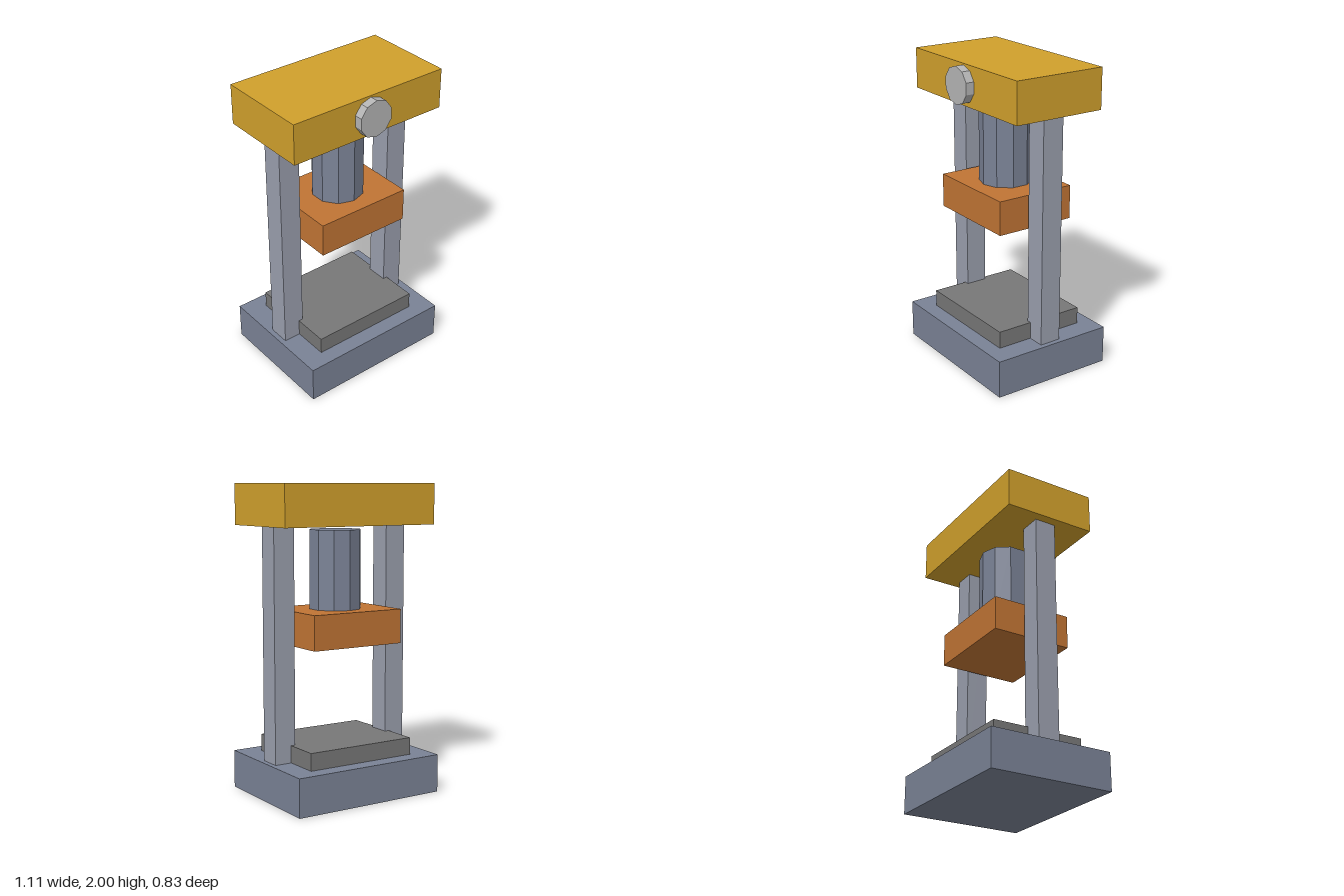
import * as THREE from 'three';

export function createModel() {
  const group = new THREE.Group();
  group.name = 'hydraulicPress';

  const mat = (color) => new THREE.MeshStandardMaterial({ color, flatShading: true });
  const steel = mat(0x7a8295);
  const column = mat(0x9a9fad);
  const yellow = mat(0xd0a02c);
  const orange = mat(0xc07434);
  const darkGrey = mat(0x777777);
  const lightGrey = mat(0xb4b4b4);

  const add = (name, geometry, material, x, y, z) => {
    const mesh = new THREE.Mesh(geometry, material);
    mesh.name = name;
    mesh.position.set(x, y, z);
    group.add(mesh);
    return mesh;
  };
  // Box centred on x, z = 0 unless x is given, spanning y0 to y1
  const box = (name, material, w, d, y0, y1, x = 0) =>
    add(name, new THREE.BoxGeometry(w, y1 - y0, d), material, x, (y0 + y1) / 2, 0);

  // Base and work table
  box('base', steel, 1.056, 0.83, 0, 0.248);
  box('workTable', darkGrey, 0.76, 0.62, 0.248, 0.36);

  // Side columns
  for (const [name, side] of [['leftColumn', 1], ['rightColumn', -1]]) {
    box(name, column, 0.144, 0.144, 0.248, 1.74, side * 0.422);
  }

  // Top beam
  box('topBeam', yellow, 1.11, 0.62, 1.738, 2);

  // Ram block and ten-sided piston
  box('ramBlock', orange, 0.652, 0.538, 0.982, 1.203);
  add('piston', new THREE.CylinderGeometry(0.169, 0.169, 0.51, 10), steel, 0, 1.455, 0);

  // Pressure gauge on the front of the beam
  const gauge = add('pressureGauge', new THREE.CylinderGeometry(0.12, 0.12, 0.07, 10), lightGrey, 0, 1.87, 0.33);
  gauge.rotation.x = Math.PI / 2;

  return group;
}
